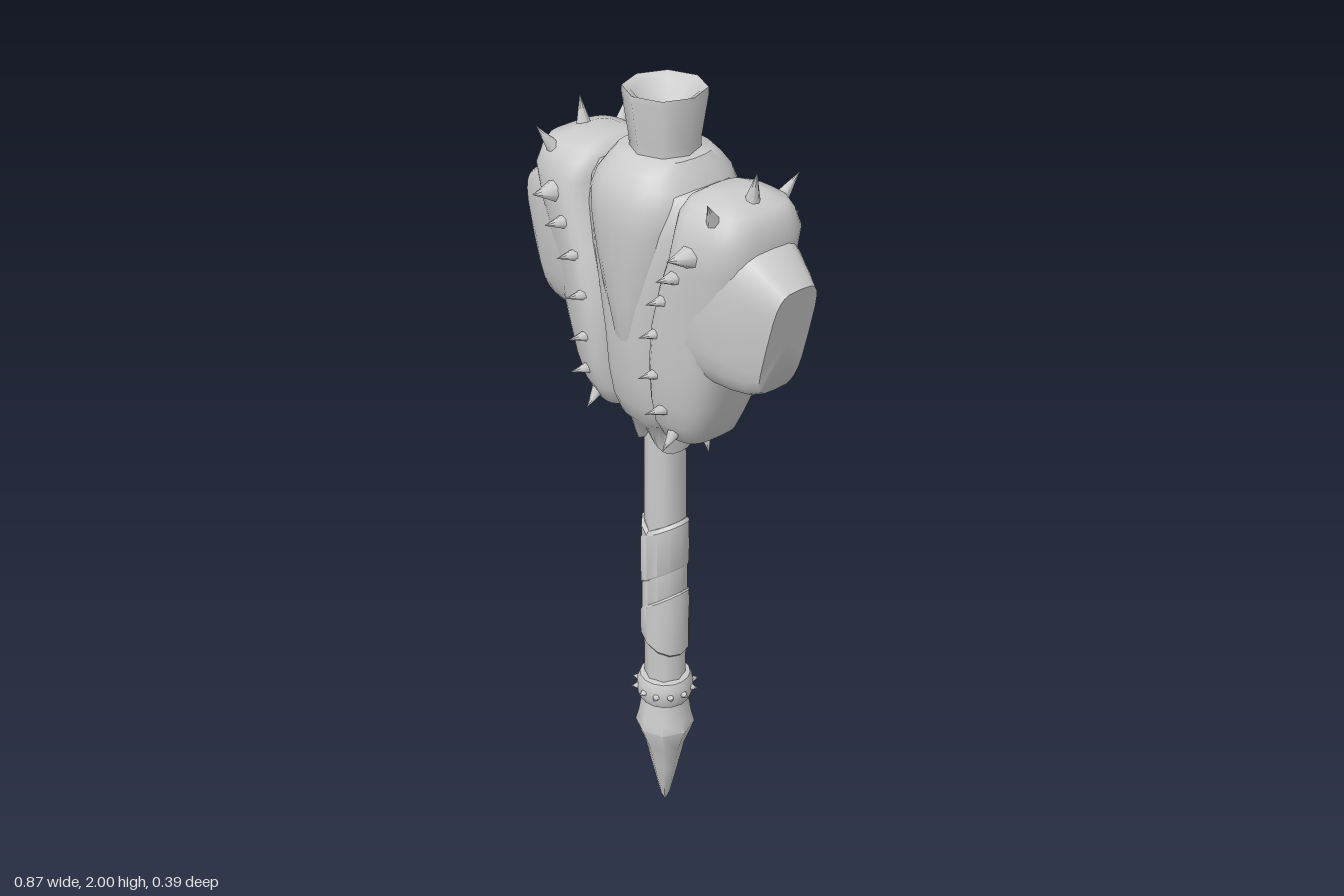
import * as THREE from 'three';
import { toCreasedNormals } from 'three/addons/utils/BufferGeometryUtils.js';

const material = new THREE.MeshStandardMaterial({ color: 0xcccccc });

function add(parent, geometry, name) {
  const mesh = new THREE.Mesh(geometry, material);
  mesh.name = name;
  parent.add(mesh);
  return mesh;
}

// Skin over a list of equally sized point rings, closed at both ends
function loft(rings, crease) {
  const n = rings[0].length, pos = [], idx = [];
  rings.forEach(r => r.forEach(p => pos.push(p.x, p.y, p.z)));
  for (let i = 0; i < rings.length - 1; i++) {
    for (let j = 0; j < n; j++) {
      const a = i * n + j, b = i * n + (j + 1) % n;
      idx.push(a, b, b + n, a, b + n, a + n);
    }
  }
  [rings[0], rings[rings.length - 1]].forEach((ring, end) => {
    const c = pos.length / 3, base = end ? (rings.length - 1) * n : 0;
    const mid = ring.reduce((s, p) => s.add(p), new THREE.Vector3()).divideScalar(n);
    pos.push(mid.x, mid.y, mid.z);
    for (let j = 0; j < n; j++) {
      const a = base + j, b = base + (j + 1) % n;
      if (end) idx.push(a, b, c); else idx.push(b, a, c);
    }
  });
  const g = new THREE.BufferGeometry();
  g.setAttribute('position', new THREE.Float32BufferAttribute(pos, 3));
  g.setIndex(idx);
  return toCreasedNormals(g, crease);
}

// Rounded-rectangle loop: returns n pairs [u, v] within -1..1
function superLoop(n, power) {
  return Array.from({ length: n }, (_, j) => {
    const a = (j / n) * Math.PI * 2, c = Math.cos(a), s = Math.sin(a);
    return [Math.sign(c) * Math.abs(c) ** power, Math.sign(s) * Math.abs(s) ** power];
  });
}

// Level ring from x0 to x1 with half depth d; taper thins it outward of the ridge
const levelRing = (y, x0, x1, d, n, power, taper = 0) => superLoop(n, power).map(([u, v]) =>
  new THREE.Vector3((x0 + x1) / 2 + u * (x1 - x0) / 2, y,
    -v * d * (1 - taper * Math.max(0, (u + 0.5) / 1.5))));

// Symmetric body from rows of y, half width, half depth
const bodyRings = (rows, power) => rows.map(([y, w, d]) => levelRing(y, -w, w, d, 24, power));

// Cone from a base point to a tip
function spike(parent, base, tip, radius, name = 'spike') {
  const a = new THREE.Vector3(...base), dir = new THREE.Vector3(...tip).sub(a);
  const len = dir.length();
  const g = new THREE.ConeGeometry(radius, len, 7);
  g.translate(0, len / 2, 0);
  const m = add(parent, g, name);
  m.position.copy(a);
  m.quaternion.setFromUnitVectors(new THREE.Vector3(0, 1, 0), dir.normalize());
}

const lathe = (pts, sides, crease = 0.9) => toCreasedNormals(
  new THREE.LatheGeometry(pts.map(p => new THREE.Vector2(...p)), sides), crease);

// One side of the head: studded lobe plus striking block
function headSide(name) {
  const side = new THREE.Group();
  side.name = name;

  const lobe = [ // y, inner x, outer x, half depth, outward taper
    [1.185, 0.08, 0.165, 0.06, 0.1], [1.2, 0.07, 0.188, 0.09, 0.15],
    [1.25, 0.07, 0.208, 0.122, 0.25], [1.31, 0.068, 0.236, 0.138, 0.3],
    [1.4, 0.068, 0.262, 0.149, 0.32], [1.5, 0.074, 0.297, 0.151, 0.34],
    [1.6, 0.1, 0.328, 0.151, 0.33], [1.68, 0.13, 0.346, 0.149, 0.27],
    [1.75, 0.142, 0.352, 0.141, 0.15], [1.79, 0.14, 0.34, 0.122, 0.1],
    [1.815, 0.15, 0.325, 0.098, 0], [1.832, 0.175, 0.27, 0.055, 0],
  ];
  add(side, loft(lobe.map(([y, a, b, d, t]) => levelRing(y, a, b, d, 32, 0.6, t)), 1.2), 'headLobe');

  // Block swells out of the lobe, its end leaning in toward the bottom
  const blockRing = (x, yLow, yHigh, d, slant, power) => superLoop(24, power).map(([u, v]) => {
    const y = (yLow + yHigh) / 2 + u * (yHigh - yLow) / 2;
    return new THREE.Vector3(x - (yHigh - y) * slant, y, v * d);
  });
  add(side, loft([
    blockRing(0.25, 1.38, 1.765, 0.128, 0.15, 0.65), blockRing(0.35, 1.38, 1.738, 0.103, 0.15, 0.6),
    blockRing(0.4, 1.385, 1.7, 0.083, 0.2, 0.55), blockRing(0.436, 1.4, 1.672, 0.064, 0.25, 0.5),
  ], 1), 'strikingBlock');

  // Studs along the ridge: x, y, radius, tip depth
  const studs = [
    [0.228, 1.715, 0.03, 0.197], [0.19, 1.652, 0.022, 0.195], [0.153, 1.582, 0.02, 0.192],
    [0.127, 1.49, 0.019, 0.19], [0.122, 1.385, 0.019, 0.188], [0.132, 1.293, 0.018, 0.178],
  ];
  for (const s of [1, -1]) {
    for (const [x, y, r, z] of studs) spike(side, [x, y, s * (z - 0.07)], [x, y + 0.008, s * z], r);
    spike(side, [0.27, 1.8, s * 0.1], [0.287, 1.855, s * 0.135], 0.017);
    spike(side, [0.135, 1.225, s * 0.09], [0.135, 1.185, s * 0.128], 0.017);
  }
  spike(side, [0.278, 1.805, 0], [0.295, 1.893, 0], 0.023);
  spike(side, [0.138, 1.205, 0], [0.155, 1.14, 0], 0.02);
  return side;
}

// Grip wrapping with slanted rims
function wrapBand(y0, y1, r, slant0, slant1) {
  const ring = (y, radius, slant) => levelRing(y, -radius, radius, radius, 12, 1)
    .map(p => (p.y += slant * p.x, p));
  return loft([ring(y0, r - 0.008, slant0), ring(y0 + 0.012, r, slant0),
    ring(y1 - 0.012, r, slant1), ring(y1, r - 0.008, slant1)], 0.6);
}

export function createModel() {
  const root = new THREE.Group();
  root.name = 'warMace';

  // Shaft and pointed foot
  add(root, lathe([[0, 0.3], [0.052, 0.3], [0.053, 0.7], [0.05, 1.2], [0, 1.2]], 8), 'shaft');
  add(root, lathe([[0, 0.005], [0.012, 0.03], [0.035, 0.13], [0.05, 0.2], [0.076, 0.27],
    [0.068, 0.3], [0.058, 0.36], [0, 0.36]], 8), 'footPoint');

  // Studded ring above the foot
  add(root, lathe([[0.045, 0.352], [0.064, 0.355], [0.072, 0.375], [0.072, 0.405],
    [0.064, 0.425], [0.045, 0.428]], 16), 'footRing');
  for (let i = 0; i < 12; i++) {
    const a = (i / 12) * Math.PI * 2, c = Math.cos(a), s = Math.sin(a);
    spike(root, [c * 0.065, 0.39, s * 0.065], [c * 0.088, 0.39, s * 0.088], 0.012, 'ringStud');
  }

  // Grip wrapping
  add(root, wrapBand(0.53, 0.66, 0.062, -0.5, 0.75), 'gripWrap');
  add(root, wrapBand(0.6, 0.76, 0.058, 0.75, 0.7), 'gripWrap');
  add(root, wrapBand(0.72, 0.87, 0.061, 0.7, 0.6), 'gripWrap');
  add(root, wrapBand(0.81, 0.87, 0.059, -0.6, -0.55), 'gripWrap');

  // Head core filling the valleys between the lobes, its lower rim drawn into side points
  const core = bodyRings([
    [1.14, 0.056, 0.058], [1.185, 0.064, 0.08], [1.2, 0.09, 0.092], [1.25, 0.1, 0.112],
    [1.32, 0.105, 0.125], [1.42, 0.11, 0.132], [1.52, 0.13, 0.136], [1.62, 0.16, 0.134],
    [1.71, 0.18, 0.128], [1.77, 0.18, 0.116], [1.8, 0.165, 0.1], [1.808, 0.13, 0.08],
  ], 0.65);
  core[0].forEach(p => { p.y -= 0.06 * Math.abs(p.x / 0.056) - 0.02; });
  add(root, loft(core, 0.9), 'headCore');

  // Raised hub narrowing downward
  add(root, loft(bodyRings([
    [1.36, 0.03, 0.118], [1.44, 0.06, 0.137], [1.53, 0.095, 0.147], [1.62, 0.12, 0.155],
    [1.71, 0.14, 0.16], [1.77, 0.147, 0.157], [1.81, 0.133, 0.142], [1.84, 0.113, 0.12],
    [1.862, 0.098, 0.098],
  ], 0.75), 0.9), 'headHub');

  // Flared neck with a hollow top
  add(root, lathe([[0.08, 1.84], [0.08, 1.88], [0.096, 1.985], [0.095, 2],
    [0.076, 1.99], [0.045, 1.955], [0, 1.945]], 8), 'topNeck');

  // Mirrored head sides
  root.add(headSide('leftHeadSide'));
  const right = headSide('rightHeadSide');
  right.rotation.y = Math.PI;
  root.add(right);
  return root;
}
